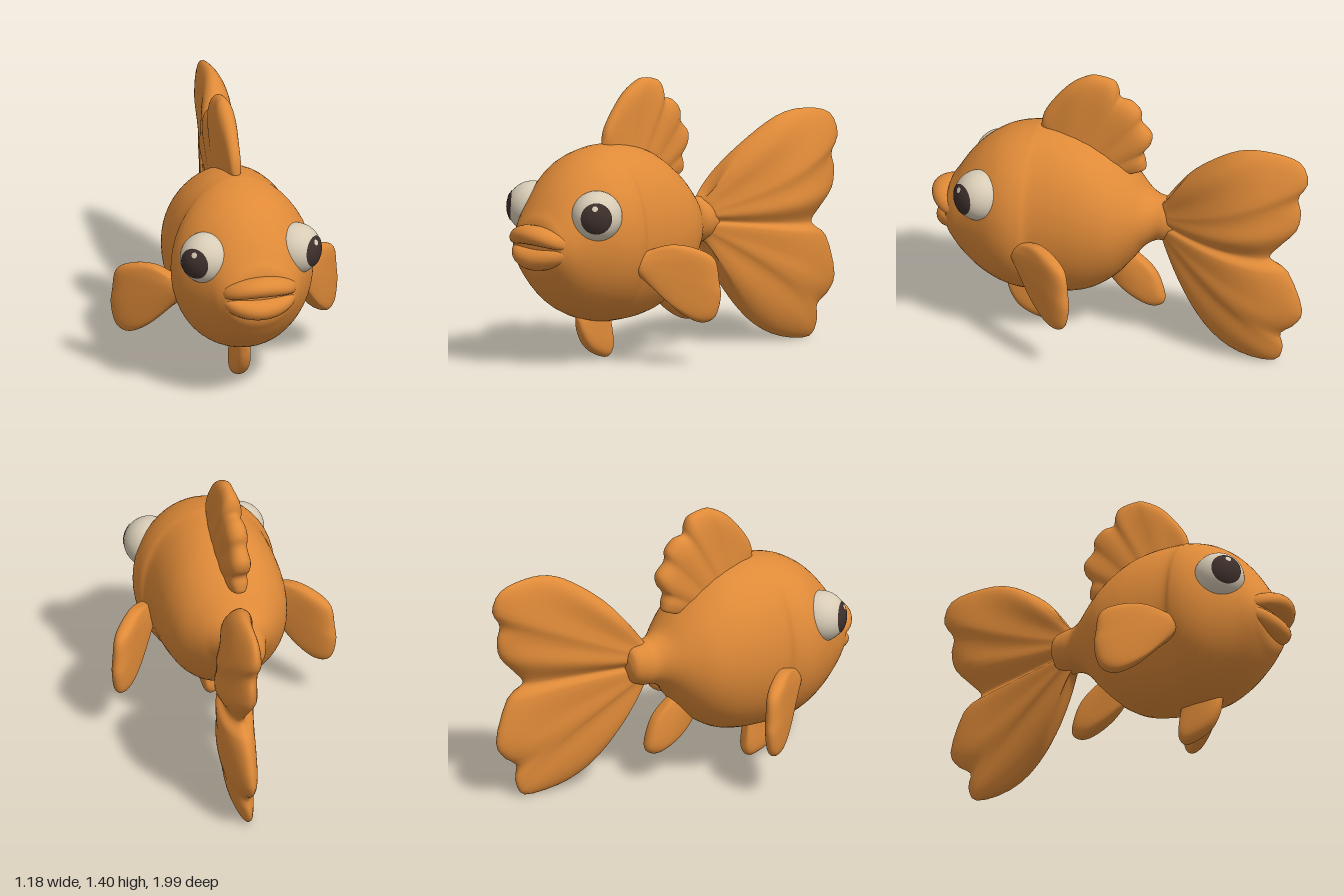
import * as THREE from 'three';
import { mergeVertices } from 'three/addons/utils/BufferGeometryUtils.js';

const V = (x, y, z) => new THREE.Vector3(x, y, z);
const skin = new THREE.MeshStandardMaterial({ name: 'orange skin', color: 0xdf8a38 });
const white = new THREE.MeshStandardMaterial({ name: 'eye white', color: 0xd8ccb6 });
const dark = new THREE.MeshStandardMaterial({ name: 'pupil brown', color: 0x3e302c });

// Smooth skin over a list of equally sized rings, always facing outwards;
// the first ring is capped, the last one is expected to close by itself
function loft(rings) {
  const n = rings[0].length, pts = rings.flat(), index = [];
  for (let i = 0; i < rings.length - 1; i++) for (let j = 0; j < n; j++) {
    const a = i * n + j, b = i * n + (j + 1) % n;
    index.push(a, b, a + n, b, b + n, a + n);
  }
  pts.push(rings[0].reduce((s, p) => s.add(p), V(0, 0, 0)).divideScalar(n));
  for (let j = 0; j < n; j++) index.push(pts.length - 1, (j + 1) % n, j);
  let volume = 0;
  for (let i = 0; i < index.length; i += 3) {
    const [a, b, c] = [0, 1, 2].map(k => pts[index[i + k]]);
    volume += a.dot(b.clone().cross(c));
  }
  if (volume < 0) index.reverse();
  const g = new THREE.BufferGeometry().setFromPoints(pts);
  g.setIndex(index);
  const merged = mergeVertices(g, 1e-4);
  merged.computeVertexNormals();
  return merged;
}

function add(parent, name, geometry, material) {
  const mesh = new THREE.Mesh(geometry, material);
  mesh.name = name;
  parent.add(mesh);
  return mesh;
}

// Puffy fin spanning from a root line to a scalloped edge;
// place(a, b, t) maps outline coordinates and thickness into space
function fin(root, edge, thickness, place) {
  const curve = new THREE.CatmullRomCurve3(edge.map(([a, b]) => V(a, b, 0)), false, 'catmullrom', 0.5);
  const [r0, r1] = root.map(([a, b]) => V(a, b, 0));
  const U = 72, N = 26, rings = [];
  for (let i = 0; i <= N; i++) {
    const v = Math.sin((i / N) * Math.PI / 2), ring = [];
    for (let j = 0; j < 2 * U; j++) {
      const k = j <= U ? j : 2 * U - j;
      const w = k / U, u = 0.5 * w + 0.5 * (0.5 - 0.5 * Math.cos(Math.PI * w));
      const p = r0.clone().lerp(r1, u).lerp(curve.getPoint(u), v);
      const round = Math.pow(Math.max(0, Math.sin(Math.PI * u)), 0.35) * Math.sqrt(Math.max(0, 1 - v ** 9));
      ring.push(place(p.x, p.y, (j <= U ? 1 : -1) * thickness(u, v) * round));
    }
    rings.push(ring);
  }
  return loft(rings);
}

function buildBody() {
  // z, top, bottom, half width
  const sections = [
    [-0.31, 0.69, 0.61, 0.05], [-0.29, 0.74, 0.56, 0.085], [-0.23, 0.76, 0.535, 0.105],
    [-0.17, 0.77, 0.53, 0.118], [-0.11, 0.80, 0.49, 0.165], [-0.04, 0.88, 0.40, 0.227],
    [0.05, 0.965, 0.305, 0.287], [0.17, 1.045, 0.23, 0.322], [0.3, 1.085, 0.2, 0.333],
    [0.43, 1.095, 0.195, 0.337], [0.48, 1.09, 0.2, 0.358], [0.55, 1.075, 0.21, 0.364],
    [0.63, 1.045, 0.235, 0.344], [0.72, 0.985, 0.28, 0.295], [0.8, 0.9, 0.345, 0.245],
    [0.86, 0.81, 0.42, 0.205], [0.9, 0.74, 0.49, 0.15], [0.91, 0.617, 0.617, 0]];
  const shape = new THREE.CatmullRomCurve3(sections.map(s => V(s[1], s[2], s[3])), false, 'catmullrom', 0.5);
  const along = new THREE.CatmullRomCurve3(sections.map(s => V(0, 0, s[0])), false, 'catmullrom', 0.5);
  const rings = [];
  for (let i = 0; i <= 85; i++) {
    const s = shape.getPoint(i / 85), z = along.getPoint(i / 85).z, ring = [];
    const lean = z < -0.1 ? (-0.1 - z) * 0.1 : 0;
    for (let j = 0; j < 48; j++) {
      const a = j / 48 * Math.PI * 2;
      ring.push(V(lean + s.z * Math.cos(a), (s.x + s.y) / 2 + (s.x - s.y) / 2 * Math.sin(a), z));
    }
    rings.push(ring);
  }
  return loft(rings);
}

// Lip: a swept oval that bows forwards and up or down
function buildLip(bow, reach, ry, rz) {
  const rings = [];
  for (let i = 0; i <= 32; i++) {
    const t = -Math.cos(i / 32 * Math.PI), k = Math.max(0, 1 - t * t), size = Math.pow(k, 0.3), ring = [];
    for (let j = 0; j < 20; j++) {
      const a = j / 20 * Math.PI * 2;
      ring.push(V(0.195 * t, 0.617 + bow * (0.35 + 0.65 * k) + ry * size * Math.sin(a),
        0.83 + reach * Math.pow(k, 0.6) + rz * size * Math.cos(a)));
    }
    rings.push(ring);
  }
  return loft(rings);
}

function buildEye(side) {
  const eye = new THREE.Group();
  eye.name = side > 0 ? 'leftEye' : 'rightEye';
  eye.position.set(side * 0.235, 0.78, 0.7);
  add(eye, 'eyeball', new THREE.SphereGeometry(0.13, 40, 28), white);
  const cap = (name, r, angle, dir, mat) => {
    const mesh = add(eye, name, new THREE.SphereGeometry(r, 32, 10, 0, Math.PI * 2, 0, angle), mat);
    mesh.quaternion.setFromUnitVectors(V(0, 1, 0), dir.normalize());
  };
  cap('pupil', 0.133, 0.64, V(side * 0.72, 0.04, 0.69), dark);
  cap('eyeGlint', 0.135, 0.11, V(side * 0.088, 0.06, 0.094), white);
  return eye;
}

export function createModel() {
  const fish = new THREE.Group();
  fish.name = 'fish';
  add(fish, 'body', buildBody(), skin);
  add(fish, 'upperLip', buildLip(0.068, 0.1, 0.05, 0.068), skin);
  add(fish, 'lowerLip', buildLip(-0.062, 0.08, 0.053, 0.062), skin);
  for (const side of [1, -1]) fish.add(buildEye(side));

  // Two-lobed tail, swept towards the left, its lobe tips curling back a little
  const tailEdge = [[-0.24, 0.77], [-0.35, 0.95], [-0.5, 1.08], [-0.65, 1.16], [-0.8, 1.172],
    [-0.95, 1.135], [-0.995, 1.03], [-0.945, 0.94], [-0.96, 0.86], [-0.94, 0.765], [-0.86, 0.675],
    [-0.8, 0.605], [-0.83, 0.567], [-0.9, 0.51], [-0.965, 0.32], [-0.93, 0.23], [-0.85, 0.166],
    [-0.86, 0.085], [-0.81, 0.005], [-0.61, 0.03], [-0.45, 0.13], [-0.34, 0.3], [-0.24, 0.53]];
  const tailThickness = (u, v) => (0.06 + 0.045 * Math.sin(Math.PI * v))
    * (1 - 0.35 * Math.exp(-(((u - 0.52) / 0.06) ** 2))) * (1 + 0.1 * v * Math.cos(u * 44));
  const tailPlace = (z, y, t) => V(0.215 * Math.sin(Math.min(1, (-z - 0.15) / 0.65) * Math.PI / 2)
    - 0.03 * ((y - 0.6) / 0.57) ** 2 + t, y, z);
  add(fish, 'tailFin', fin([[-0.2, 0.75], [-0.2, 0.55]], tailEdge, tailThickness, tailPlace), skin);

  // Centre-line fins
  const upright = (z, y, t) => V(t, y, z);
  const dorsalEdge = [[0.44, 1.08], [0.41, 1.19], [0.3, 1.33], [0.2, 1.395], [0.14, 1.405], [0.06, 1.385],
    [0.035, 1.34], [0.025, 1.295], [-0.03, 1.28], [-0.08, 1.23], [-0.085, 1.17], [-0.135, 1.11],
    [-0.13, 1.05], [-0.095, 1.0], [-0.105, 0.95], [-0.1, 0.905], [-0.03, 0.89]];
  add(fish, 'dorsalFin', fin([[0.38, 1.02], [0.02, 0.86]], dorsalEdge,
    (u, v) => 0.066 * (1 - 0.1 * v) * (1 + 0.08 * v * Math.cos(u * 36)), upright), skin);
  add(fish, 'pelvicFin', fin([[0.58, 0.27], [0.4, 0.25]],
    [[0.62, 0.23], [0.6, 0.15], [0.56, 0.08], [0.5, 0.035], [0.42, 0.01], [0.385, 0.04], [0.385, 0.1], [0.4, 0.2]],
    () => 0.043, upright), skin);
  add(fish, 'analFin', fin([[0.1, 0.36], [-0.02, 0.46]],
    [[0.08, 0.29], [0, 0.215], [-0.08, 0.165], [-0.15, 0.145], [-0.2, 0.17], [-0.2, 0.23], [-0.16, 0.33], [-0.07, 0.42]],
    () => 0.05, upright), skin);

  // Side fins, angled backwards
  const pectoralEdge = [[0.34, 0.59], [0.42, 0.62], [0.5, 0.6], [0.56, 0.545], [0.575, 0.43], [0.58, 0.35],
    [0.56, 0.25], [0.51, 0.225], [0.44, 0.28], [0.37, 0.38], [0.32, 0.45]];
  for (const side of [1, -1]) {
    add(fish, side > 0 ? 'leftPectoralFin' : 'rightPectoralFin',
      fin([[0.3, 0.57], [0.3, 0.48]], pectoralEdge, () => 0.048,
        (x, y, t) => V(side * (x + t * 0.77), y, 0.455 - 1.16 * (x - 0.33) + t * 0.64)), skin);
  }
  return fish;
}
